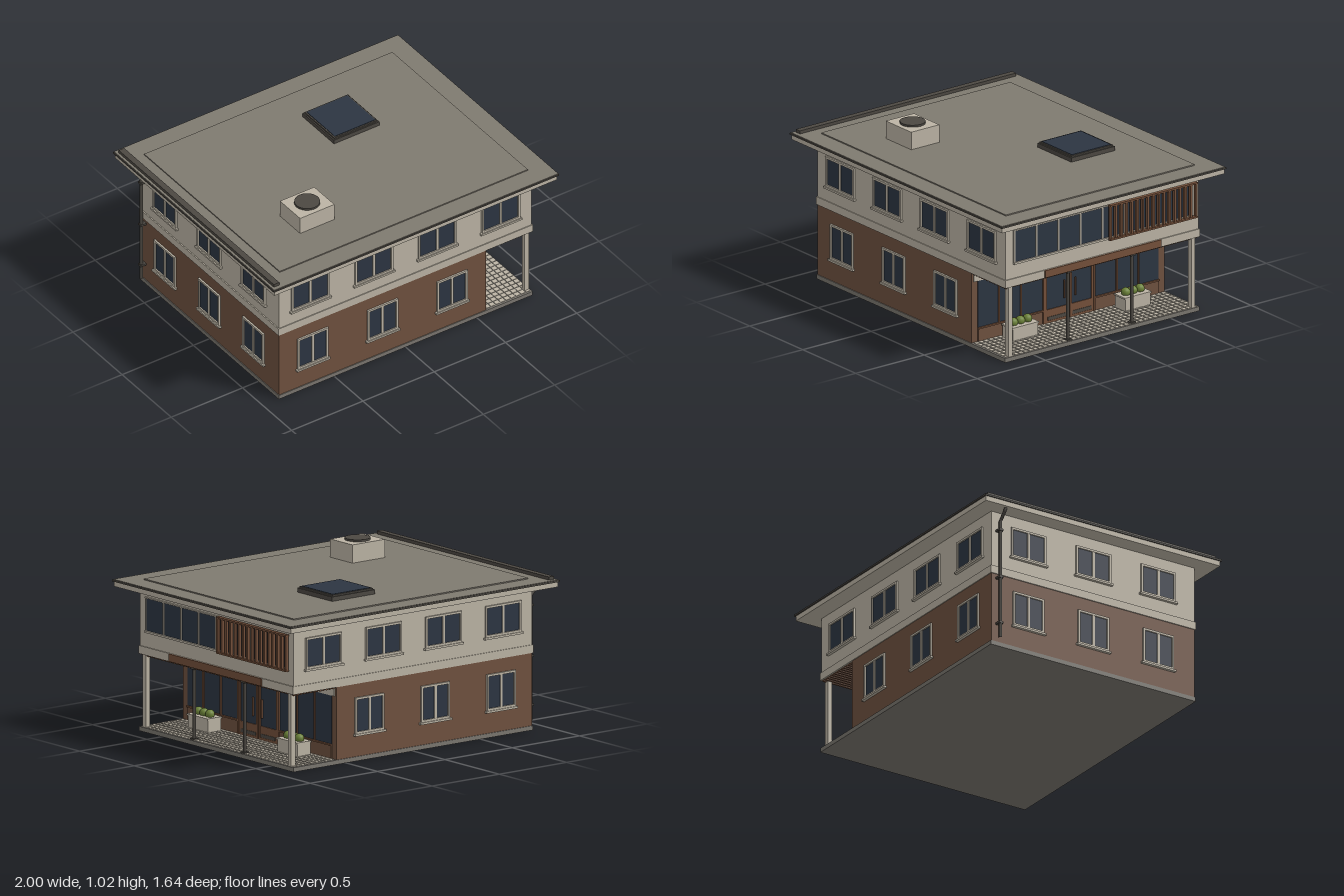
import * as THREE from 'three';
import { mergeGeometries } from 'three/addons/utils/BufferGeometryUtils.js';

const mat = (name, color) => {
  const m = new THREE.MeshStandardMaterial({ color });
  m.name = name;
  return m;
};

export function createModel() {
  const cream = mat('cream render', 0xbcb4a5);
  const brick = mat('brown brick', 0x6f513f);
  const wood = mat('wood', 0x74503a);
  const roofGrey = mat('roof grey', 0x7f7a70);
  const metal = mat('dark metal', 0x4c4842);
  const glass = mat('dark glass', 0x2c3542);
  const stone = mat('grey slab', 0x7a766f);
  const leaf = mat('leaf green', 0x6c8238);

  const house = new THREE.Group();
  house.name = 'house';

  const mesh = (name, geo, m, parent = house) => {
    const o = new THREE.Mesh(geo, m);
    o.name = name;
    parent.add(o);
    return o;
  };
  // box geometry and mesh from min/max extents
  const boxGeo = (x0, x1, y0, y1, z0, z1) =>
    new THREE.BoxGeometry(x1 - x0, y1 - y0, z1 - z0)
      .translate((x0 + x1) / 2, (y0 + y1) / 2, (z0 + z1) / 2);
  const box = (name, m, x0, x1, y0, y1, z0, z1, parent) =>
    mesh(name, boxGeo(x0, x1, y0, y1, z0, z1), m, parent);
  const merged = (name, m, geos, parent) => mesh(name, mergeGeometries(geos), m, parent);
  // four bars around a rectangle in the xy plane
  const ring = (w, h, t, z0, z1) => [
    boxGeo(-w / 2, w / 2, h / 2 - t, h / 2, z0, z1),
    boxGeo(-w / 2, w / 2, -h / 2, -h / 2 + t, z0, z1),
    boxGeo(-w / 2, -w / 2 + t, -h / 2 + t, h / 2 - t, z0, z1),
    boxGeo(w / 2 - t, w / 2, -h / 2 + t, h / 2 - t, z0, z1),
  ];

  // main volumes
  box('groundSlab', stone, -0.89, 0.89, 0, 0.026, -0.71, 0.71);
  box('lowerWalls', brick, -0.885, 0.565, 0.026, 0.457, -0.705, 0.705);
  box('floorBand', cream, -0.892, 0.892, 0.457, 0.505, -0.71, 0.71);
  box('upperWalls', cream, -0.885, 0.885, 0.505, 0.852, -0.705, 0.705);

  // roof
  box('roofFascia', cream, -0.992, 0.992, 0.85, 0.88, -0.812, 0.812);
  box('roofTrim', metal, -1, 1, 0.88, 0.89, -0.82, 0.82);
  box('roofDeck', roofGrey, -0.995, 0.995, 0.89, 0.893, -0.815, 0.815);
  box('roofPanel', roofGrey, -0.87, 0.87, 0.893, 0.9, -0.69, 0.69);

  // gutter and downpipe on the left-hand end
  box('gutter', metal, -0.98, -0.942, 0.89, 0.912, -0.79, 0.79);
  const pipe = new THREE.CurvePath();
  const pts = [[-0.965, 0.86], [-0.965, 0.84], [-0.912, 0.785], [-0.912, 0.045]]
    .map(([x, y]) => new THREE.Vector3(x, y, -0.66));
  for (let i = 0; i < 3; i++) pipe.add(new THREE.LineCurve3(pts[i], pts[i + 1]));
  mesh('downpipe', new THREE.TubeGeometry(pipe, 60, 0.01, 8), metal);
  for (const y of [0.14, 0.43, 0.73])
    box('pipeBracket', metal, -0.924, -0.885, y - 0.006, y + 0.006, -0.675, -0.645);

  // chimney
  box('chimney', cream, -0.565, -0.325, 0.895, 1.008, 0.25, 0.455);
  mesh('chimneyCap', new THREE.CylinderGeometry(0.075, 0.075, 0.012, 24), metal)
    .position.set(-0.445, 1.014, 0.352);

  // skylight
  box('skylightCurb', metal, 0.088, 0.406, 0.895, 0.926, -0.467, -0.148);
  box('skylightRim', metal, 0.096, 0.398, 0.926, 0.935, -0.459, -0.156);
  box('skylightGlass', glass, 0.105, 0.389, 0.935, 0.938, -0.45, -0.165);

  // framed two-pane window with sill, facing +z before rotation
  const addWindow = (w, h, x, y, z, turn) => {
    const g = new THREE.Group();
    g.name = 'window';
    mesh('windowGlass', new THREE.BoxGeometry(w - 0.01, h - 0.01, 0.006), glass, g);
    merged('windowFrame', cream, [
      ...ring(w, h, 0.013, 0, 0.011),
      boxGeo(-0.008, 0.008, -h / 2, h / 2, 0, 0.009),
      boxGeo(-w / 2 - 0.01, w / 2 + 0.01, -h / 2 - 0.012, -h / 2, 0, 0.018),
    ], g);
    g.position.set(x, y, z);
    g.rotation.y = turn;
    house.add(g);
  };
  for (const s of [1, -1]) {
    const turn = s > 0 ? 0 : Math.PI;
    for (const x of [-0.668, -0.224, 0.221, 0.666]) addWindow(0.266, 0.185, x, 0.688, s * 0.705, turn);
    for (const x of [-0.652, -0.163, 0.325]) addWindow(0.213, 0.215, x, 0.268, s * 0.705, turn);
  }
  for (const z of [-0.45, 0, 0.45]) {
    addWindow(0.24, 0.185, -0.885, 0.688, z, -Math.PI / 2);
    addWindow(0.213, 0.215, -0.885, 0.268, z, -Math.PI / 2);
  }

  // long ribbon window on the upper floor
  box('ribbonGlass', glass, 0.884, 0.889, 0.6, 0.797, -0.645, 0.645);
  const bars = [
    boxGeo(0.884, 0.896, 0.795, 0.803, -0.65, 0.65),
    boxGeo(0.884, 0.9, 0.592, 0.604, -0.65, 0.65),
  ];
  for (let i = -4; i <= 4; i++)
    bars.push(boxGeo(0.884, 0.895, 0.6, 0.797, i * 0.161 - 0.005, i * 0.161 + 0.005));
  merged('ribbonFrame', cream, bars);

  // sliding slatted screen
  const slats = [
    boxGeo(0.896, 0.921, 0.798, 0.808, -0.675, -0.035),
    boxGeo(0.896, 0.921, 0.59, 0.6, -0.675, -0.035),
  ];
  for (let i = 0; i < 17; i++) {
    const z = -0.042 - i * 0.0391;
    slats.push(boxGeo(0.9, 0.918, 0.598, 0.8, z - 0.007, z + 0.007));
  }
  merged('slatScreen', wood, slats);
  box('fasciaBoard', wood, 0.89, 0.9, 0.46, 0.505, -0.425, 0.425);

  // shopfront
  box('shopHeader', cream, 0.56, 0.572, 0.4, 0.457, -0.69, 0.69);
  box('shopGlass', glass, 0.564, 0.569, 0.11, 0.4, -0.66, 0.66);
  for (const s of [1, -1]) {
    const [a, b] = [s * 0.185, s * 0.66].sort((p, q) => p - q);
    box('shopBase', brick, 0.56, 0.572, 0.026, 0.104, a, b);
    box('shopSill', wood, 0.56, 0.58, 0.104, 0.113, a, b);
    for (const z of [0.35, 0.51])
      box('shopMullion', wood, 0.56, 0.577, 0.11, 0.4, s * z - 0.005, s * z + 0.005);

    // door leaf
    const door = new THREE.Group();
    door.name = 'doorLeaf';
    merged('doorFrame', wood, [
      ...ring(0.172, 0.364, 0.014, 0, 0.012),
      boxGeo(-0.075, 0.075, -0.17, -0.1, 0, 0.01),
    ], door);
    box('doorGlass', glass, -0.075, 0.075, -0.1, 0.17, 0, 0.005, door);
    box('kickPlate', metal, -0.068, 0.068, -0.165, -0.145, 0.01, 0.013, door);
    const edge = s * 0.05;
    box('doorHandle', wood, edge - 0.004, edge + 0.004, -0.05, 0.06, 0.012, 0.022, door);
    door.position.set(0.567, 0.21, s * 0.091);
    door.rotation.y = Math.PI / 2;
    house.add(door);
    box('doorJamb', wood, 0.56, 0.58, 0.026, 0.4, s * 0.184 - 0.006, s * 0.184 + 0.006);

    // porch supports
    box('cornerPost', cream, 0.853, 0.884, 0.026, 0.457, s * 0.668 - 0.014, s * 0.668 + 0.014);
    mesh('porchColumn', new THREE.CylinderGeometry(0.01, 0.01, 0.431, 12), metal)
      .position.set(0.865, 0.2415, s * 0.233);
    for (const y of [0.03, 0.449])
      box('columnPlate', metal, 0.847, 0.883, y - 0.005, y + 0.005, s * 0.233 - 0.018, s * 0.233 + 0.018);

    // planter with three shrubs
    const c = s * 0.411;
    box('planter', cream, 0.598, 0.694, 0.026, 0.1, c - 0.092, c + 0.092);
    box('planterRim', cream, 0.593, 0.699, 0.1, 0.11, c - 0.097, c + 0.097);
    for (const d of [-0.052, 0, 0.052])
      mesh('shrub', new THREE.SphereGeometry(0.028, 14, 10), leaf).position.set(0.646, 0.124, c + d);
  }

  // slatted porch ceiling
  box('ceilingBoard', wood, 0.57, 0.885, 0.454, 0.457, -0.7, 0.7);
  const ceiling = [];
  for (let i = 0; i < 13; i++) {
    const x = 0.585 + i * 0.0238;
    ceiling.push(boxGeo(x - 0.006, x + 0.006, 0.447, 0.454, -0.7, 0.7));
  }
  merged('ceilingSlats', wood, ceiling);

  // porch paving
  const tiles = [];
  for (let i = 0; i < 9; i++)
    for (let j = 0; j < 40; j++) {
      const x = 0.574 + i * 0.035, z = -0.7 + j * 0.035;
      tiles.push(boxGeo(x, x + 0.028, 0.026, 0.029, z + 0.0035, z + 0.0315));
    }
  merged('porchTiles', cream, tiles);

  return house;
}
